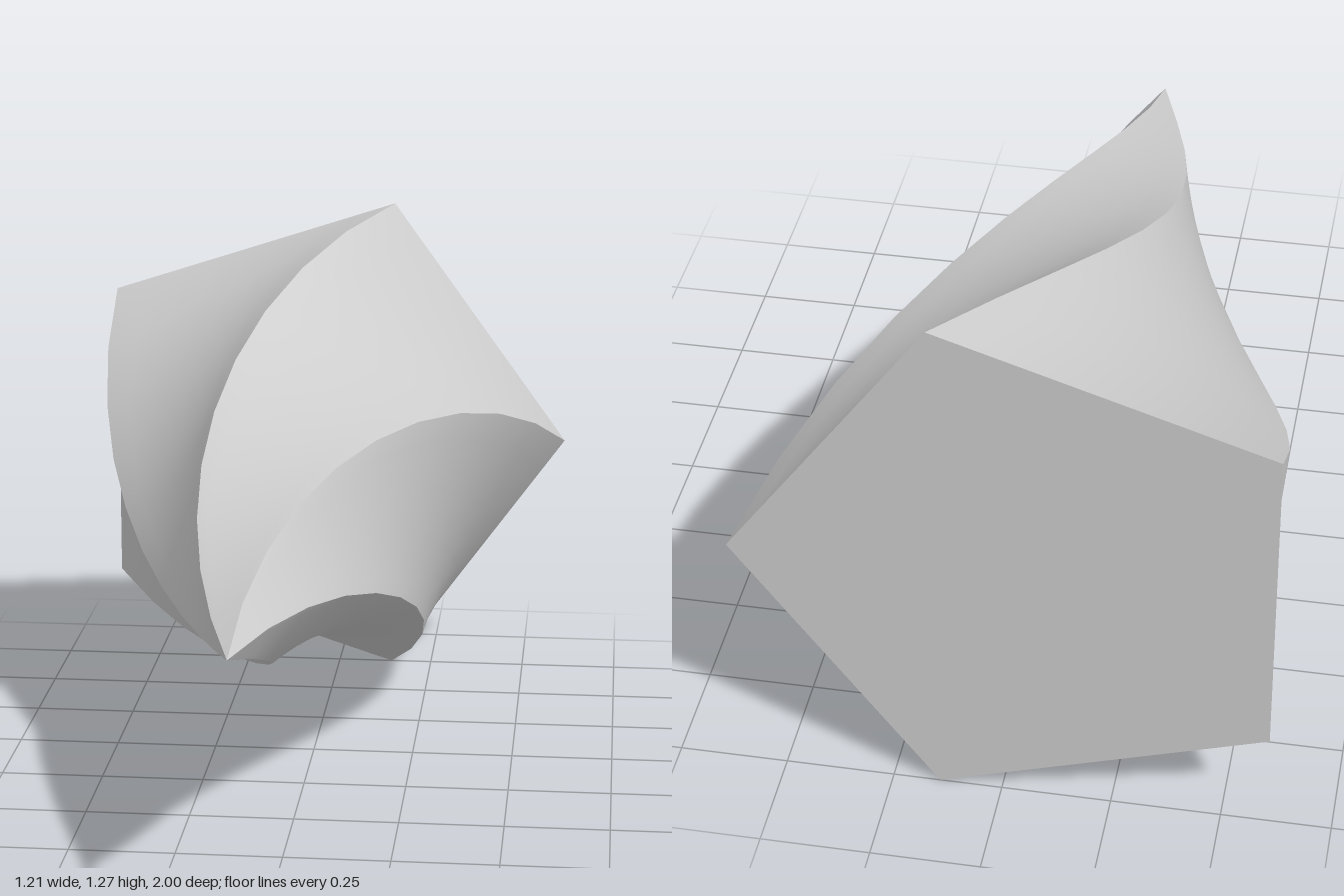
import * as THREE from 'three';

const SIDES = 5, RADIUS = 2 / 3, DEPTH = 2, TWIST = Math.PI / 2;
const STEPS = 10, ACROSS = 8;
const STEP_ANGLE = (2 * Math.PI) / SIDES;

// Point on a corner edge: the pentagon shrinks to the tip while turning
function corner(i, t) {
  const a = i * STEP_ANGLE + t * TWIST, r = RADIUS * (1 - t);
  return new THREE.Vector3(r * Math.cos(a), r * Math.sin(a), (t - 0.5) * DEPTH);
}

// One twisted side, ruled straight between two neighbouring corner edges
function sideGeometry(i) {
  const pos = [], index = [], row = ACROSS + 1;
  for (let j = 0; j <= STEPS; j++) {
    const a = corner(i, j / STEPS), b = corner(i + 1, j / STEPS);
    for (let k = 0; k <= ACROSS; k++) pos.push(...a.clone().lerp(b, k / ACROSS).toArray());
  }
  for (let j = 0; j < STEPS; j++) {
    for (let k = 0; k < ACROSS; k++) {
      const p = j * row + k, q = p + row;
      index.push(p, p + 1, q);
      if (j < STEPS - 1) index.push(p + 1, q + 1, q); // last row closes at the tip
    }
  }
  const g = new THREE.BufferGeometry();
  g.setAttribute('position', new THREE.Float32BufferAttribute(pos, 3));
  g.setIndex(index);
  g.computeVertexNormals();
  return g;
}

export function createModel() {
  const grey = new THREE.MeshStandardMaterial({ color: 0xcccccc });
  grey.name = 'light grey';

  const model = new THREE.Group();
  model.name = 'twistedPyramid';

  for (let i = 0; i < SIDES; i++) {
    const side = new THREE.Mesh(sideGeometry(i), grey);
    side.name = 'twistedSide' + (i + 1);
    model.add(side);
  }

  // Flat pentagon closing the back
  const base = new THREE.Mesh(new THREE.CircleGeometry(RADIUS, SIDES).rotateX(Math.PI), grey);
  base.name = 'pentagonBase';
  base.position.z = -DEPTH / 2;
  model.add(base);

  // Centre on x and stand on the ground
  model.children.forEach((m) => {
    m.position.x = -RADIUS * (1 - Math.cos(Math.PI / SIDES)) / 2;
    m.position.y = RADIUS * Math.sin(STEP_ANGLE);
  });
  return model;
}
